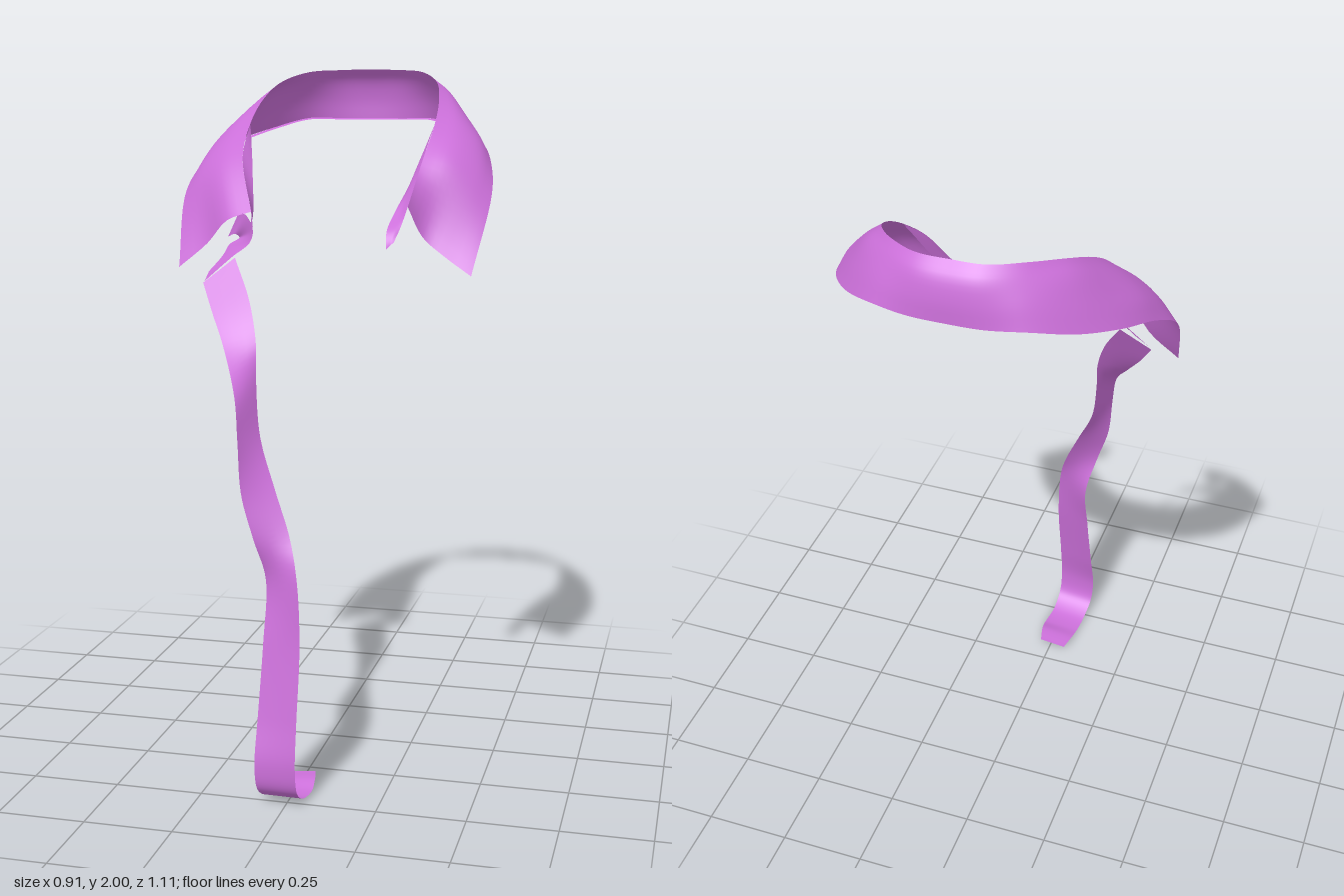
import * as THREE from 'three';

// Smooth cloth sheet through stations; each station is a row of points across the sheet
function loft(name, stations, material, along, across) {
  const v = stations.map(row => row.map(p => new THREE.Vector3(...p)));
  const rails = v[0].map((_, i) => new THREE.CatmullRomCurve3(v.map(row => row[i]), false, 'centripetal'));
  const n = stations.length - 1;
  const positions = [], index = [];
  for (let i = 0; i <= along; i++) {
    // getPoint keeps every rail in step with the stations
    const row = rails.map(r => r.getPoint(i / along));
    const section = new THREE.CatmullRomCurve3(row, false, 'centripetal');
    for (let j = 0; j <= across; j++) {
      const p = section.getPoint(j / across);
      positions.push(p.x, Math.max(p.y, 0), p.z);
      if (i < along && j < across) {
        const a = i * (across + 1) + j, b = a + across + 1;
        index.push(a, b, a + 1, b, b + 1, a + 1);
      }
    }
  }
  const g = new THREE.BufferGeometry();
  g.setAttribute('position', new THREE.Float32BufferAttribute(positions, 3));
  g.setIndex(index);
  g.computeVertexNormals();
  const mesh = new THREE.Mesh(g, material);
  mesh.name = name;
  return mesh;
}

const mirror = row => row.map(([x, y, z]) => [-x, y, z]);

export function createModel() {
  const group = new THREE.Group();
  group.name = 'collarWithTie';
  const cloth = new THREE.MeshStandardMaterial({ color: 0xcc70da, side: THREE.DoubleSide });
  cloth.name = 'orchid cloth';

  // Collar rows: outer edge, outer middle, upper middle, neck edge
  const back = [[0, 1.85, -0.553], [0, 1.91, -0.55], [0, 1.965, -0.535], [0, 2.0, -0.505]];
  const half = [
    [[0.1, 1.85, -0.549], [0.096, 1.91, -0.542], [0.092, 1.965, -0.525], [0.09, 1.998, -0.497]],
    [[0.2, 1.85, -0.525], [0.19, 1.91, -0.505], [0.182, 1.96, -0.475], [0.175, 1.992, -0.445]],
    [[0.3, 1.82, -0.45], [0.285, 1.885, -0.42], [0.265, 1.94, -0.385], [0.24, 1.962, -0.35]],
    [[0.38, 1.785, -0.34], [0.355, 1.84, -0.31], [0.315, 1.89, -0.275], [0.268, 1.91, -0.24]],
    [[0.43, 1.735, -0.2], [0.4, 1.785, -0.18], [0.342, 1.825, -0.155], [0.276, 1.838, -0.125]],
    [[0.455, 1.645, -0.06], [0.405, 1.69, -0.04], [0.335, 1.73, -0.02], [0.265, 1.745, -0.01]],
  ];
  const leftEnd = [[0.423, 1.43, 0.085], [0.34, 1.485, 0.07], [0.28, 1.535, 0.065], [0.245, 1.62, 0.1]];
  const rightEnd = [[-0.43, 1.435, 0.09], [-0.345, 1.505, 0.085], [-0.275, 1.575, 0.115], [-0.205, 1.6, 0.11]];
  group.add(loft('collar', [
    rightEnd, ...half.map(mirror).reverse(), back, ...half, leftEnd,
  ], cloth, 112, 12));

  // Thin turned-in hem under the back of the collar
  const hem = half.slice(0, 4).map(([[x, y, z]]) => [[x, y, z], [x * 0.965, y - 0.004, z + 0.018]]);
  group.add(loft('collarHem', [
    ...hem.map(mirror).reverse(),
    [[0, 1.85, -0.553], [0, 1.846, -0.535]], ...hem,
  ], cloth, 48, 1));

  // Inner flap curling down from the neck edge to a point at the left front
  group.add(loft('leftInnerFlap', [
    [[0.276, 1.838, -0.125], [0.273, 1.83, -0.125], [0.27, 1.822, -0.12]],
    [[0.265, 1.745, -0.01], [0.245, 1.715, -0.01], [0.228, 1.68, -0.02]],
    [[0.245, 1.62, 0.1], [0.225, 1.61, 0.09], [0.205, 1.6, 0.095]],
    [[0.235, 1.565, 0.155], [0.222, 1.56, 0.165], [0.2, 1.555, 0.17]],
    [[0.225, 1.53, 0.19], [0.215, 1.52, 0.198], [0.205, 1.51, 0.2]],
  ], cloth, 32, 6));

  // Inner flap at the right front, feeding the knot
  group.add(loft('rightInnerFlap', [
    [[-0.276, 1.838, -0.125], [-0.272, 1.822, -0.12]],
    [[-0.265, 1.745, -0.01], [-0.232, 1.69, 0.0]],
    [[-0.205, 1.6, 0.11], [-0.215, 1.57, 0.07]],
    [[-0.19, 1.56, 0.145], [-0.235, 1.53, 0.08]],
  ], cloth, 24, 4));

  // Twisted knot
  group.add(loft('knot', [
    [[-0.245, 1.595, 0.1], [-0.285, 1.525, 0.075]],
    [[-0.215, 1.59, 0.125], [-0.255, 1.535, 0.1]],
    [[-0.19, 1.55, 0.145], [-0.245, 1.525, 0.095]],
    [[-0.2, 1.515, 0.145], [-0.275, 1.505, 0.095]],
    [[-0.25, 1.475, 0.15], [-0.29, 1.475, 0.11]],
    [[-0.33, 1.405, 0.16], [-0.325, 1.43, 0.135]],
  ], cloth, 40, 4));

  // Long hanging tie: right-hand edge, left-hand edge (as seen from the front)
  group.add(loft('hangingTie', [
    [[-0.335, 1.4, 0.158], [-0.25, 1.47, 0.125]],
    [[-0.295, 1.325, 0.205], [-0.19, 1.36, 0.19]],
    [[-0.24, 1.235, 0.275], [-0.155, 1.25, 0.245]],
    [[-0.175, 1.11, 0.385], [-0.143, 1.15, 0.285]],
    [[-0.155, 1.0, 0.428], [-0.118, 1.0, 0.335]],
    [[-0.14, 0.86, 0.448], [-0.06, 0.86, 0.388]],
    [[-0.105, 0.74, 0.455], [-0.01, 0.74, 0.425]],
    [[-0.077, 0.62, 0.43], [0.025, 0.62, 0.478]],
    [[-0.075, 0.45, 0.468], [0.037, 0.45, 0.502]],
    [[-0.08, 0.25, 0.51], [0.036, 0.25, 0.535]],
    [[-0.082, 0.12, 0.54], [0.036, 0.12, 0.552]],
    [[-0.078, 0.05, 0.53], [0.038, 0.05, 0.538]],
    [[-0.07, 0.012, 0.48], [0.042, 0.014, 0.485]],
    [[-0.065, 0.004, 0.42], [0.05, 0.01, 0.42]],
    [[-0.06, 0.012, 0.365], [0.046, 0.024, 0.37]],
    [[-0.05, 0.012, 0.313], [0.033, 0.022, 0.313]],
  ], cloth, 112, 4));

  return group;
}
